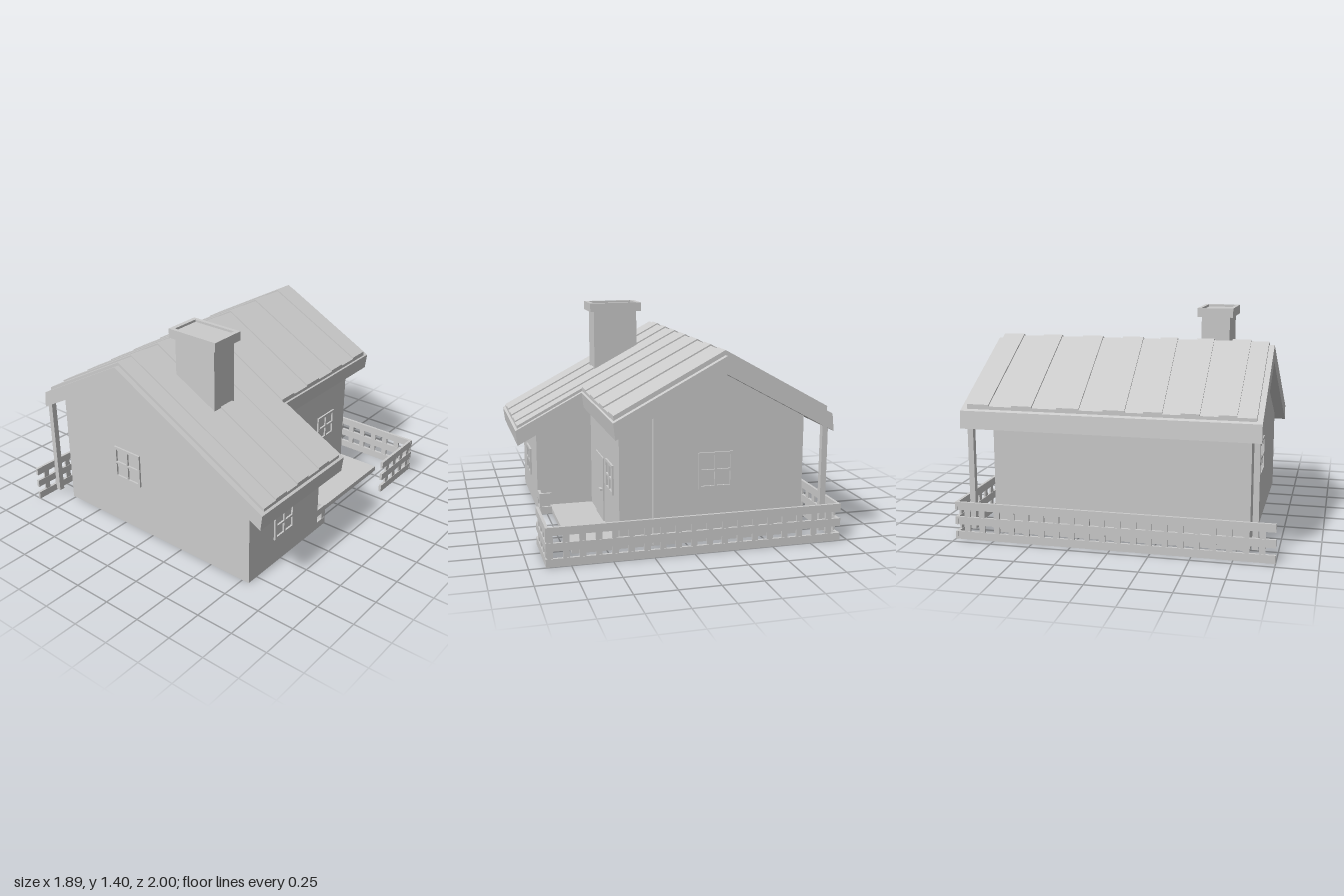
import * as THREE from 'three';

const mat = new THREE.MeshStandardMaterial({ color: 0xcccccc, flatShading: true });
const RIDGE = -0.2;
const LEFT = { eave: -0.895, slope: 0.555 };
const RIGHT = { slope: 0.53 };

function mesh(name, geo, parent) {
  const m = new THREE.Mesh(geo, mat);
  m.name = name;
  parent.add(m);
  return m;
}

// Box given by its min and max on each axis
function box(name, parent, x0, x1, y0, y1, z0, z1) {
  const m = mesh(name, new THREE.BoxGeometry(x1 - x0, y1 - y0, z1 - z0), parent);
  m.position.set((x0 + x1) / 2, (y0 + y1) / 2, (z0 + z1) / 2);
  return m;
}

// Outline in x and y, extruded from z0 to z1
function prism(name, parent, points, z0, z1) {
  const shape = new THREE.Shape(points.map(p => new THREE.Vector2(...p)));
  const m = mesh(name, new THREE.ExtrudeGeometry(shape, { depth: z1 - z0, bevelEnabled: false }), parent);
  m.position.z = z0;
  return m;
}

function rect(Type, x0, x1, y0, y1) {
  const r = new Type();
  r.moveTo(x0, y0); r.lineTo(x1, y0); r.lineTo(x1, y1); r.lineTo(x0, y1); r.closePath();
  return r;
}

// Height of the slope under a ridge of height top
const under = (x, top) => top - Math.abs(x - RIDGE) * (x < RIDGE ? LEFT.slope : RIGHT.slope);

// Sheet lying on a slope, with its own z range at the ridge and at the eave
function slopeSheet(name, parent, eave, low, high, zRidge, zEave) {
  const geo = new THREE.BoxGeometry(1, 1, 1);
  const p = geo.attributes.position;
  for (let i = 0; i < p.count; i++) {
    const t = eave > RIDGE ? p.getX(i) + 0.5 : 0.5 - p.getX(i);
    const x = THREE.MathUtils.lerp(RIDGE, eave, t);
    const k = p.getZ(i) > 0 ? 1 : 0;
    p.setXYZ(i, x, under(x, p.getY(i) > 0 ? high : low),
      THREE.MathUtils.lerp(zRidge[k], zEave[k], t));
  }
  geo.computeVertexNormals();
  return mesh(name, geo, parent);
}

// Four-pane window frame facing +z, centred on its origin
function windowFrame(name, parent, w, h, x, y, z, turn) {
  const shape = rect(THREE.Shape, -w / 2, w / 2, -h / 2, h / 2);
  const b = 0.018, c = 0.007;
  for (const sx of [-1, 1]) for (const sy of [-1, 1]) {
    const xs = [sx * c, sx * (w / 2 - b)].sort((a, d) => a - d);
    const ys = [sy * c, sy * (h / 2 - b)].sort((a, d) => a - d);
    shape.holes.push(rect(THREE.Path, ...xs, ...ys));
  }
  const m = mesh(name, new THREE.ExtrudeGeometry(shape, { depth: 0.012, bevelEnabled: false }), parent);
  m.position.set(x, y, z);
  m.rotation.y = turn;
}

// Slatted fence along local +x, rails stacked with short uprights between
function fence(name, parent, length, x, z, turn, rails = 3) {
  const g = new THREE.Group();
  g.name = name;
  for (let i = 0; i < rails; i++) {
    box('rail', g, 0, length, i * 0.095, i * 0.095 + 0.05, -0.009, 0.009);
  }
  const top = (rails - 1) * 0.095 + 0.04;
  for (let s = 0.06; s < length - 0.03; s += 0.097) {
    box('upright', g, s, s + 0.038, 0.01, top, -0.006, 0.006);
  }
  g.position.set(x, 0, z);
  g.rotation.y = turn;
  parent.add(g);
}

export function createModel() {
  const house = new THREE.Group();
  house.name = 'house';

  // Walls: wide front part and narrower rear part
  const wall = right => [[-0.77, 0], [right, 0], [right, under(right, 1.09)],
    [RIDGE, 1.09], [-0.77, under(-0.77, 1.09)]];
  prism('frontWalls', house, wall(0.8), 0.09, 0.83);
  prism('rearWalls', house, wall(0.42), -0.8, 0.09);
  box('porchDeck', house, 0.42, 0.715, 0, 0.035, -0.81, 0.09);

  // Roof slabs with square-cut eaves
  const roof = new THREE.Group();
  roof.name = 'roof';
  house.add(roof);
  const slab = eave => [
    [LEFT.eave, 0.7], [RIDGE, 1.08], [eave - 0.013, under(eave - 0.013, 1.08)],
    [eave, under(eave, 1.19)], [RIDGE, 1.19], [LEFT.eave + 0.012, under(LEFT.eave + 0.012, 1.19)]];
  prism('longRoofSlab', roof, slab(0.945), 0.04, 0.9);
  prism('shortRoofSlab', roof, slab(0.49), -0.97, 0.04);

  // Roof covering
  const sheet = (eave, z) => slopeSheet('roofSheet', roof, eave, 1.18, 1.21, z, z);
  sheet(-0.865, [-0.93, 0.865]);
  sheet(0.93, [0.075, 0.865]);
  sheet(0.48, [-0.93, 0.075]);

  // Raised boards, slightly skewed: z at ridge, z at eave, right eave x
  const boards = [
    [0.63, 0.75, 0.64, 0.75, 0.93],
    [0.40, 0.51, 0.415, 0.53, 0.93],
    [0.155, 0.27, 0.19, 0.305, 0.93],
    [-0.10, 0.04, -0.06, 0.075, 0.48],
    [-0.375, -0.235, -0.35, -0.21, 0.48],
    [-0.65, -0.52, -0.64, -0.51, 0.48],
    [-0.93, -0.79, -0.93, -0.79, 0.48],
  ];
  for (const [a, b, c, d, eave] of boards) {
    slopeSheet('roofBoard', roof, eave, 1.2, 1.22, [a, b], [c, d]);
    slopeSheet('roofBoard', roof, -0.865, 1.2, 1.22, [a, b], [c, d]);
  }

  // Chimney with a rimmed cap
  const chimney = new THREE.Group();
  chimney.name = 'chimney';
  house.add(chimney);
  box('shaft', chimney, 0.02, 0.33, 0.8, 1.385, 0.39, 0.58);
  const rim = rect(THREE.Shape, -0.185, 0.185, -0.12, 0.12);
  rim.holes.push(rect(THREE.Path, -0.155, 0.155, -0.095, 0.095));
  const cap = mesh('cap', new THREE.ExtrudeGeometry(rim, { depth: 0.06, bevelEnabled: false }), chimney);
  cap.rotation.x = -Math.PI / 2;
  cap.position.set(0.175, 1.34, 0.485);

  // Windows and door
  windowFrame('frontWindow', house, 0.225, 0.23, -0.2, 0.458, 0.83, 0);
  windowFrame('backWindow', house, 0.225, 0.23, -0.19, 0.458, -0.8, Math.PI);
  windowFrame('sideWindow', house, 0.2, 0.19, 0.8, 0.275, 0.48, Math.PI / 2);
  windowFrame('porchWindow', house, 0.2, 0.19, 0.42, 0.39, -0.55, Math.PI / 2);
  box('door', house, 0.415, 0.428, 0.035, 0.46, -0.355, -0.12);
  box('doorHandle', house, 0.425, 0.445, 0.235, 0.248, -0.335, -0.285);

  // Posts under the overhangs
  for (const [x, z, top] of [[-0.858, 0.872, 0.74], [-0.858, -0.91, 0.74], [0.22, -0.91, 0.88]]) {
    box('roofPost', house, x - 0.018, x + 0.018, 0.05, top, z - 0.018, z + 0.018);
  }

  // Fences
  fence('sideFence', house, 2, -0.938, 1, Math.PI / 2);
  fence('backFence', house, 1.85, -0.95, -0.991, 0);
  fence('porchFence', house, 0.42, 0.89, -0.58, Math.PI / 2);
  fence('cornerFence', house, 0.085, 0.715, 0.004, 0, 2);
  fence('cornerFence', house, 0.095, 0.791, 0.09, Math.PI / 2, 2);

  return house;
}
